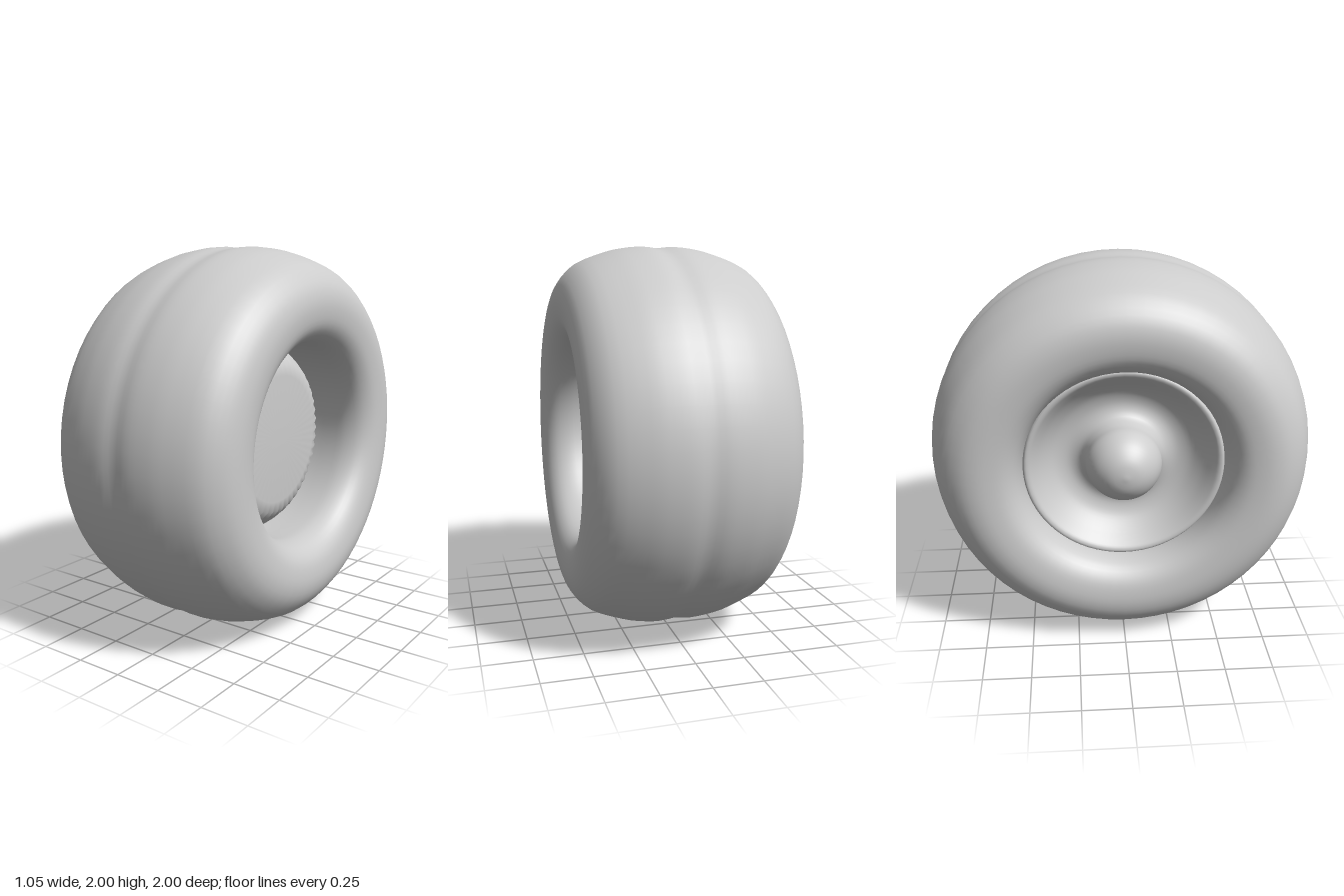
import * as THREE from 'three';
import { mergeVertices } from 'three/addons/utils/BufferGeometryUtils.js';

const rubber = new THREE.MeshStandardMaterial({ color: 0xcccccc });
rubber.name = 'plain grey';

// Turns a profile of [radius, x] points about the x axis; points run from -x to +x on the outside
function turned(name, profile, segments, samples, adjust) {
  let points = profile.map(([r, x]) => new THREE.Vector2(r, x));
  if (samples) {
    points = new THREE.SplineCurve(points).getPoints(samples);
    points.forEach((p) => { p.x = Math.max(p.x, 0); });
  }
  let geometry = new THREE.LatheGeometry(points, segments);
  if (adjust) adjust(geometry.attributes.position, points.length);
  geometry.rotateZ(-Math.PI / 2);
  // Weld the seam so the normals stay smooth all the way round
  geometry.deleteAttribute('uv');
  geometry.deleteAttribute('normal');
  geometry = mergeVertices(geometry, 1e-4);
  geometry.computeVertexNormals();
  const mesh = new THREE.Mesh(geometry, rubber);
  mesh.name = name;
  return mesh;
}

export function createModel() {
  const wheel = new THREE.Group();
  wheel.name = 'wheel';

  // Tyre: half a profile from the hole to the tread, mirrored about a shallow centre groove
  const half = [
    [0.525, 0.08], [0.522, 0.2], [0.517, 0.3], [0.518, 0.38], [0.545, 0.455], [0.6, 0.503], [0.67, 0.522],
    [0.75, 0.522], [0.83, 0.492], [0.912, 0.412], [0.968, 0.27], [0.99, 0.17], [0.998, 0.08],
  ];
  const tyreProfile = [
    ...half.map(([r, x]) => [r, -x]),
    [0.99, 0],
    ...half.slice().reverse(),
  ];
  wheel.add(turned('tyre', tyreProfile, 64, 78));

  // Inner cap on the +x side: flat disc with a finely fluted shoulder
  const discProfile = [
    [0.53, 0.09], [0.505, 0.14], [0.47, 0.19], [0.435, 0.23], [0.4, 0.257], [0.34, 0.268], [0, 0.268],
  ];
  const flute = (position, rows) => {
    for (let i = 0; i < position.count; i++) {
      const row = i % rows;
      const column = Math.floor(i / rows);
      if ((row === 3 || row === 4) && column % 2) {
        position.setXYZ(i, position.getX(i) * 0.98, position.getY(i) - 0.006, position.getZ(i) * 0.98);
      }
    }
  };
  wheel.add(turned('innerDisc', discProfile, 96, 0, flute));

  // Outer cap on the -x side: dished rim around a rounded hub
  const hubProfile = [
    [0, -0.505], [0.08, -0.488], [0.15, -0.435], [0.19, -0.36], [0.198, -0.29], [0.222, -0.235],
    [0.28, -0.212], [0.35, -0.23], [0.41, -0.278], [0.46, -0.335], [0.49, -0.362],
    [0.515, -0.35], [0.52, -0.25],
  ];
  wheel.add(turned('hubCap', hubProfile, 64, 48));

  wheel.position.y = 1;
  const model = new THREE.Group();
  model.name = 'wheelModel';
  model.add(wheel);
  return model;
}
